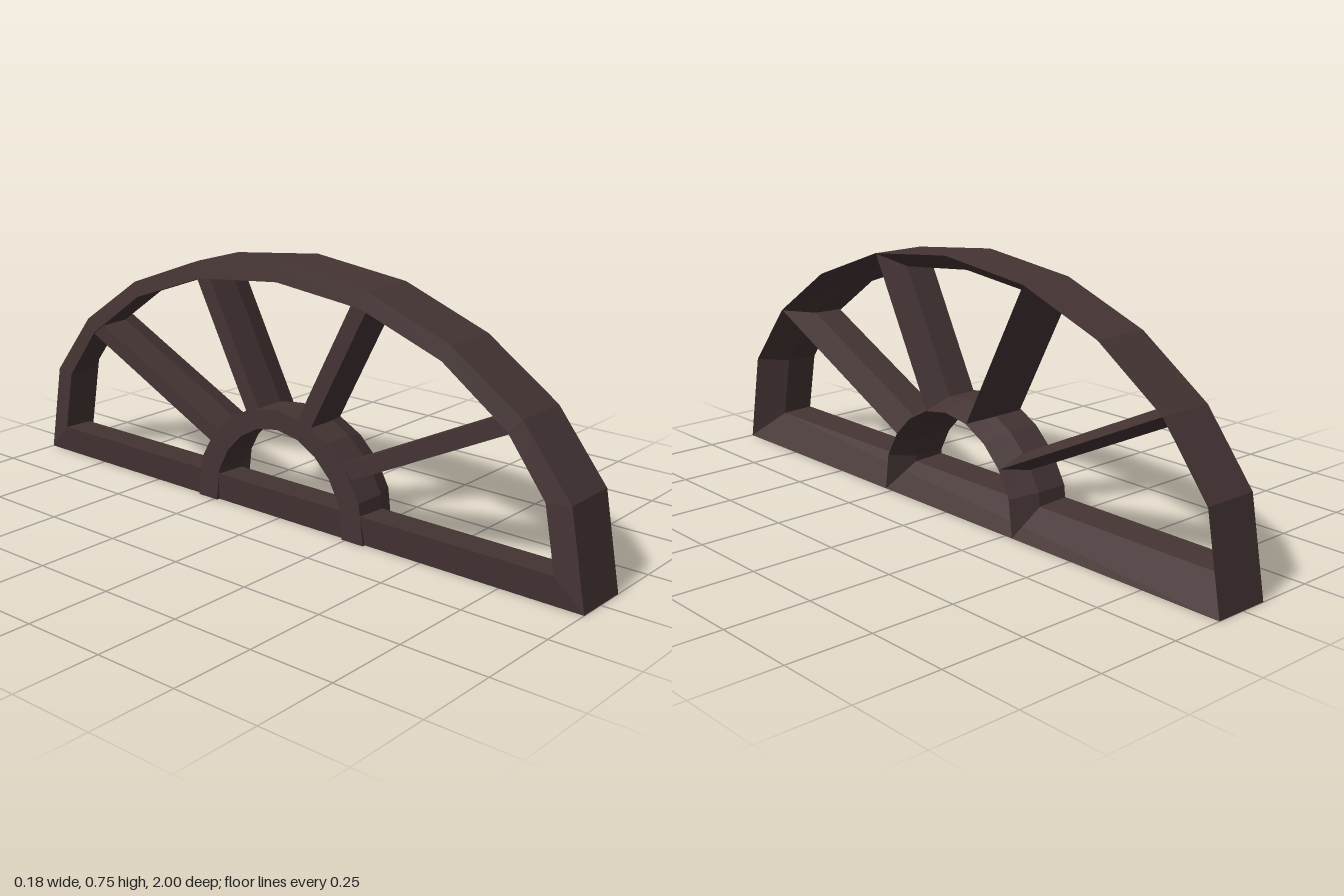
import * as THREE from 'three';

const wood = new THREE.MeshStandardMaterial({ color: 0x453434 });
wood.name = 'dark brown wood';

// Skin a list of cross-sections (each a closed loop of [x, y, z]) with flat faces.
function skin(name, sections, closed) {
  const pos = [];
  const n = sections.length;
  for (let i = 0; i < (closed ? n : n - 1); i++) {
    const s = sections[i], t = sections[(i + 1) % n];
    for (let j = 0; j < s.length; j++) {
      const k = (j + 1) % s.length;
      pos.push(...s[j], ...s[k], ...t[k], ...s[j], ...t[k], ...t[j]);
    }
  }
  const geo = new THREE.BufferGeometry();
  geo.setAttribute('position', new THREE.Float32BufferAttribute(pos, 3));
  geo.computeVertexNormals();
  const mesh = new THREE.Mesh(geo, wood);
  mesh.name = name;
  return mesh;
}

// Complete a half outline of [z, y] points to the -z side.
const mirror = (half) => [...half, ...half.slice(0, -1).reverse().map(([z, y]) => [-z, y])];

// Cross-sections between an outer and an inner outline; profile is [t, x].
const between = (outer, inner, profile) => outer.map(([z, y], i) =>
  profile.map(([t, x]) => [x, y + (inner[i][1] - y) * t, z + (inner[i][0] - z) * t]));

const OUTER = mirror([[1, 0], [0.95, 0.275], [0.8, 0.465], [0.58, 0.615], [0.31, 0.715], [0, 0.75]]);
const INNER = mirror([[0.92, 0.08], [0.885, 0.27], [0.765, 0.43], [0.56, 0.575], [0.295, 0.67], [0, 0.7]]);

export function createModel() {
  const group = new THREE.Group();
  group.name = 'fanWindowFrame';

  // Half-round rim and sill in one mitred loop, chamfered inward on +x
  group.add(skin('rimAndSill',
    between(OUTER, INNER, [[0, 0.09], [1, 0.01], [1.06, -0.09], [0, -0.08]]), true));

  // Small inner arch with a ridge along its +x side
  const scaled = (sz, sy) => OUTER.map(([z, y]) => [z * sz, y * sy]);
  group.add(skin('innerArch',
    between(scaled(0.314, 0.438), scaled(0.24, 0.36),
      [[0, 0.01], [0.5, 0.09], [1, 0.01], [1, -0.09], [0, -0.09]]), false));

  // Ridged spokes from the inner arch to the rim corners
  const ridge = scaled(0.28, 0.4);
  for (const i of [2, 4, 6, 8]) {
    const [z0, y0] = ridge[i], [z1, y1] = OUTER[i];
    const len = Math.hypot(z1 - z0, y1 - y0);
    const dz = (z1 - z0) / len, dy = (y1 - y0) / len;
    // across, depth, pull-back from the rim corner
    const profile = [[-0.025, 0.01, 0.045], [0, 0.088, 0.003], [0.025, 0.01, 0.045],
      [0.025, -0.084, 0.045], [-0.025, -0.084, 0.045]];
    const at = (end) => profile.map(([w, x, back]) => {
      const d = end ? len - back : 0;
      return [x, y0 + dy * d + dz * w, z0 + dz * d - dy * w];
    });
    group.add(skin('spoke', [at(false), at(true)], false));
  }
  return group;
}
